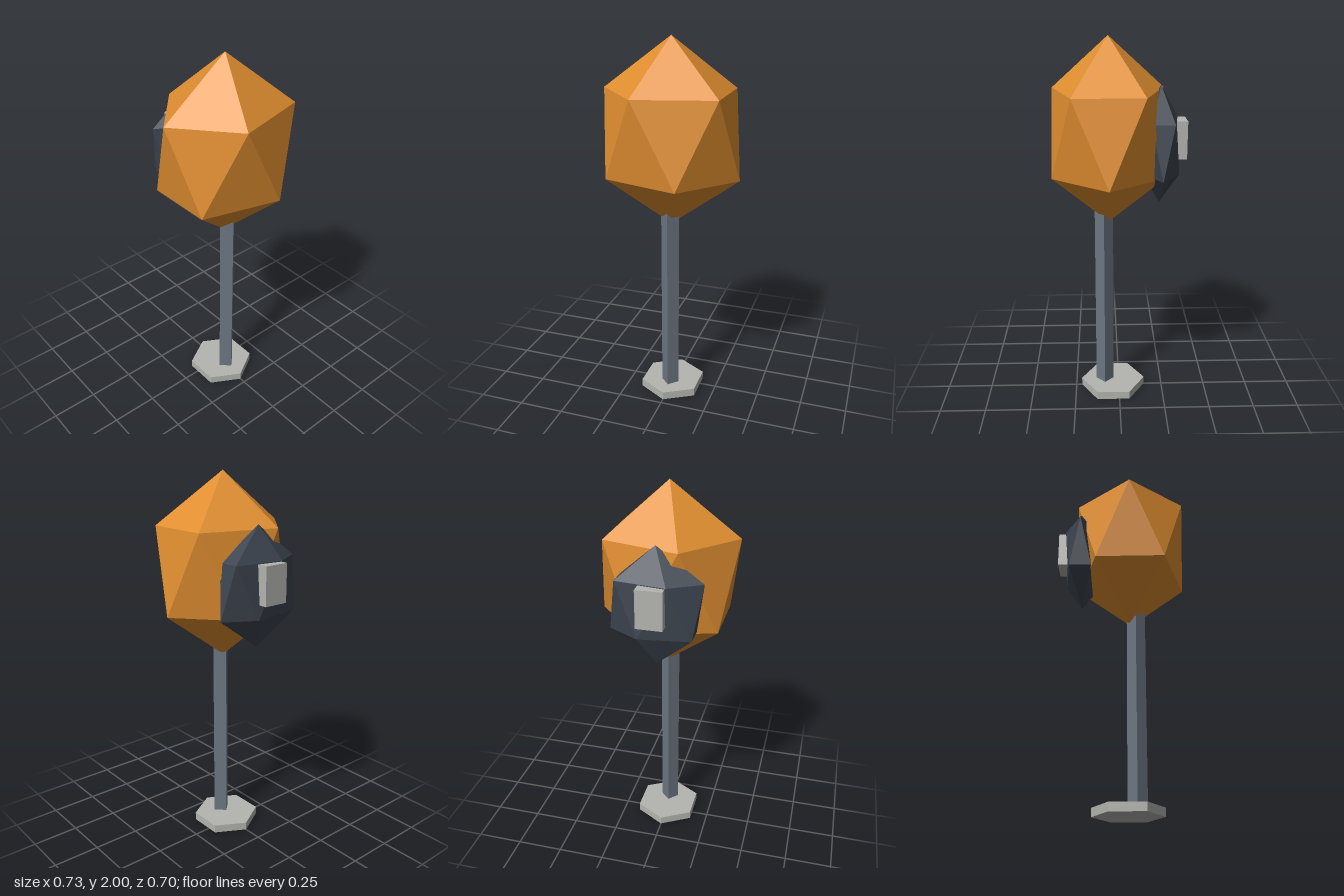
import * as THREE from 'three';
import { ConvexGeometry } from 'three/addons/geometries/ConvexGeometry.js';

const material = (name, color) => {
  const m = new THREE.MeshStandardMaterial({ color, flatShading: true });
  m.name = name;
  return m;
};

// Twenty-sided gem standing on a point, stretched to the three radii
function gem(rx, ry, rz) {
  const points = [new THREE.Vector3(0, ry, 0), new THREE.Vector3(0, -ry, 0)];
  const h = 1 / Math.sqrt(5), r = 2 * h;
  for (let i = 0; i < 5; i++) {
    const a = (i * Math.PI * 2) / 5;
    const x = Math.cos(a) * r * rx, z = Math.sin(a) * r * rz;
    points.push(new THREE.Vector3(-x, h * ry, z), new THREE.Vector3(x, -h * ry, z));
  }
  return new ConvexGeometry(points);
}

export function createModel() {
  const model = new THREE.Group();
  const orange = material('orange', 0xe08e30);
  const charcoal = material('charcoal', 0x3d4550);
  const steel = material('steel', 0x6c7682);
  const grey = material('lightGrey', 0xb4b4b0);

  const add = (name, geometry, mat, x, y, z) => {
    const mesh = new THREE.Mesh(geometry, mat);
    mesh.name = name;
    mesh.position.set(x, y, z);
    model.add(mesh);
  };

  // Six-sided foot and four-sided post
  add('base', new THREE.CylinderGeometry(0.182, 0.182, 0.045, 6), grey, 0, 0.0225, 0.035);
  add('post', new THREE.CylinderGeometry(0.05, 0.05, 1.1, 4), steel, 0, 0.59, 0.081);

  // Faceted head with a flattened pack behind it
  add('head', gem(0.409, 0.49, 0.346), orange, 0, 1.51, 0.055);
  add('backPack', gem(0.268, 0.313, 0.113), charcoal, 0, 1.442, -0.217);
  add('backPlate', new THREE.BoxGeometry(0.137, 0.2, 0.07), grey, 0, 1.478, -0.318);

  return model;
}
